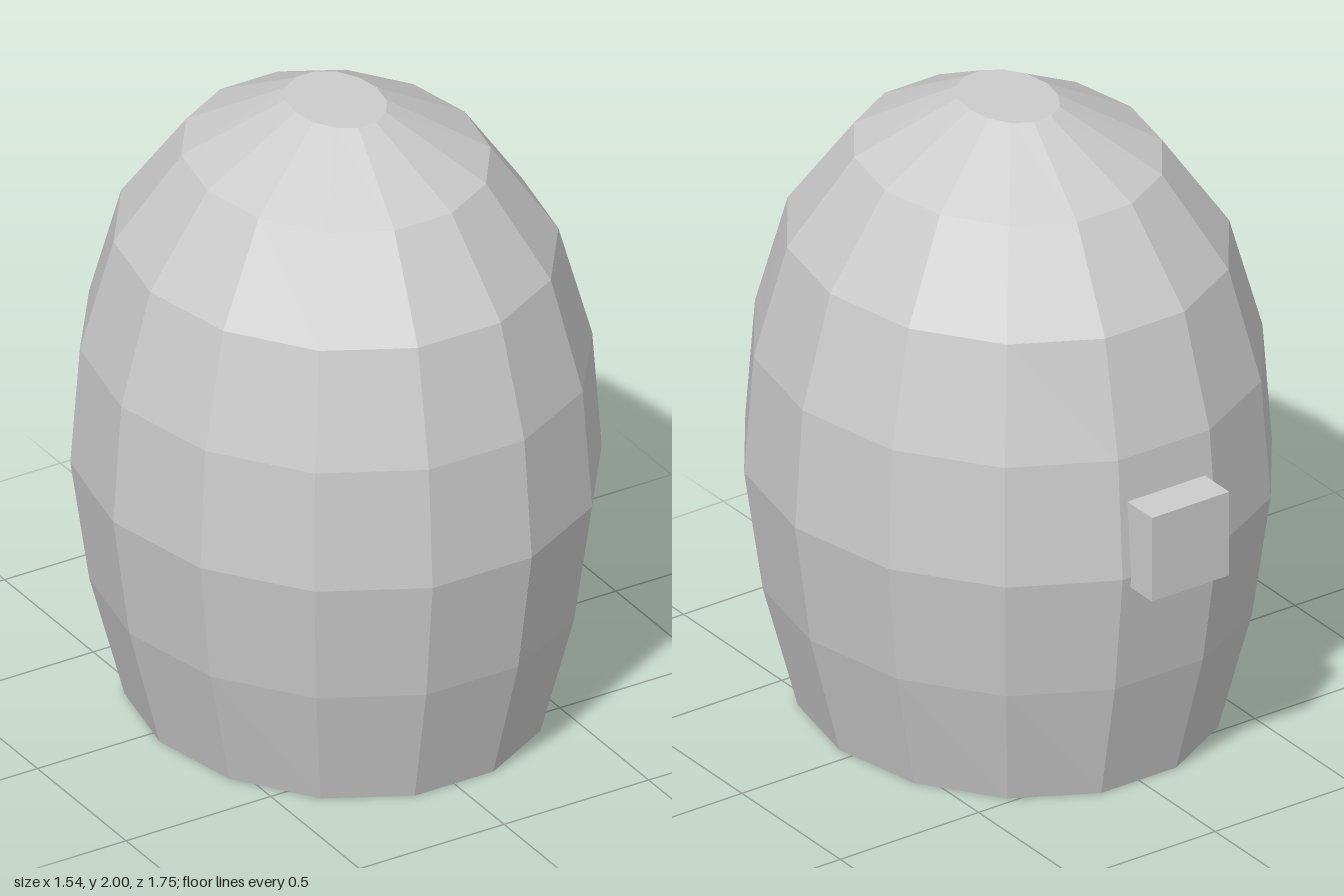
import * as THREE from 'three';

// Shell rings from the open base to the crown: [half width x, half depth z, height]
const RINGS = [
  [0.61, 0.682, 0], [0.715, 0.787, 0.4], [0.77, 0.845, 0.795], [0.743, 0.813, 1.18],
  [0.643, 0.713, 1.54], [0.445, 0.503, 1.825], [0.14, 0.18, 2], [0, 0, 2],
];
const SIDES = 14;
const CENTRE_Z = 0.053;

export function createModel() {
  const model = new THREE.Group();
  model.name = 'model';

  // Faceted domed shell, open underneath: a lathe with each ring stretched in depth
  const profile = RINGS.map(([x, , y]) => new THREE.Vector2(x, y));
  const shellGeometry = new THREE.LatheGeometry(profile, SIDES, Math.PI / 2);
  const position = shellGeometry.attributes.position;
  for (let i = 0; i < position.count; i++) {
    const [rx, rz] = RINGS[i % RINGS.length];
    if (rx > 0) position.setZ(i, position.getZ(i) * rz / rx);
  }
  shellGeometry.computeVertexNormals();
  const shell = new THREE.Mesh(shellGeometry, new THREE.MeshStandardMaterial({
    color: 0xcccccc, flatShading: true, side: THREE.DoubleSide,
  }));
  shell.name = 'shell';
  shell.position.z = CENTRE_Z;
  model.add(shell);

  // Small block on the back
  const block = new THREE.Mesh(
    new THREE.BoxGeometry(0.28, 0.28, 0.125),
    new THREE.MeshStandardMaterial({ color: 0xcccccc, flatShading: true }),
  );
  block.name = 'backBlock';
  block.position.set(0, 0.9, -0.8125);
  model.add(block);

  return model;
}
